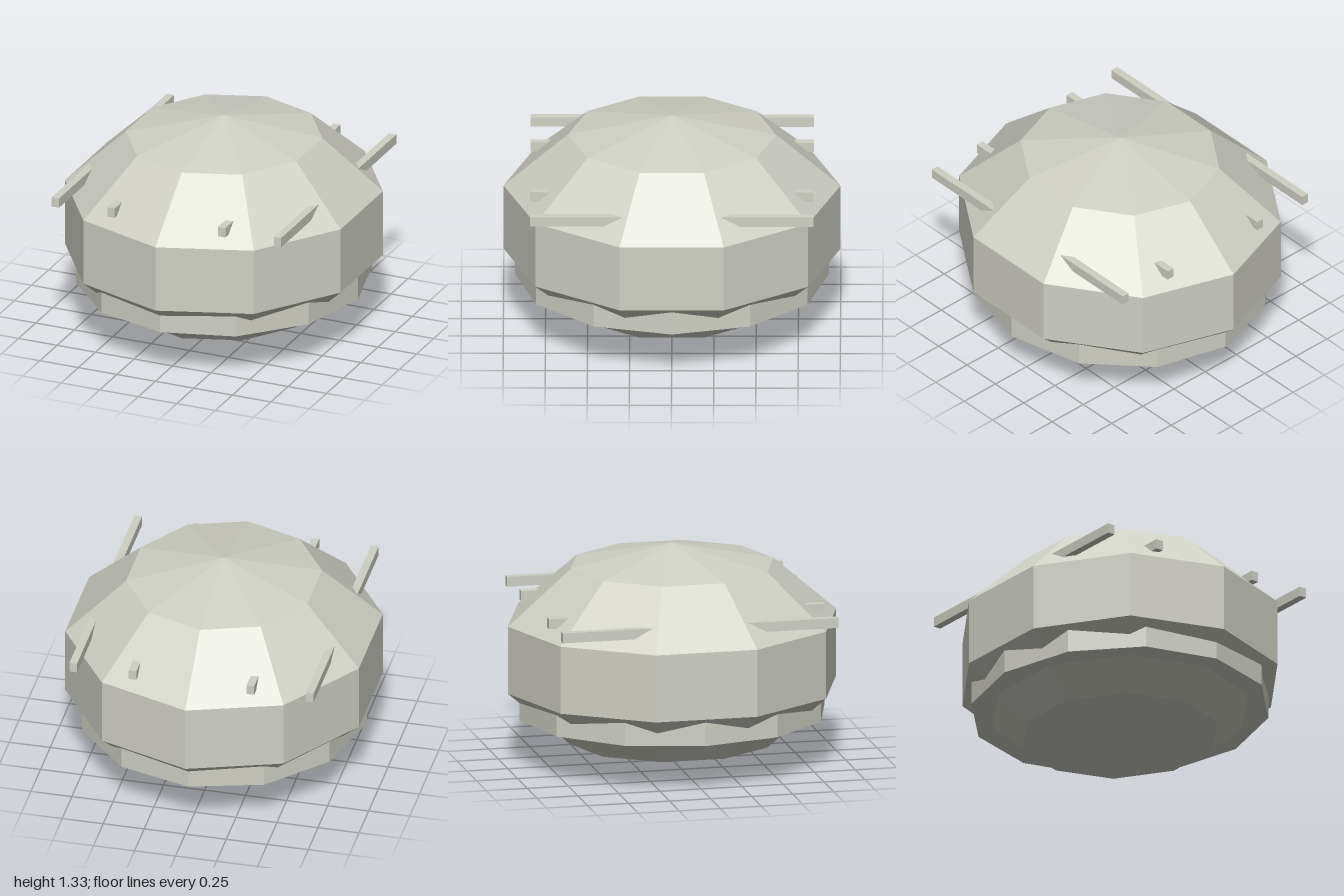
import * as THREE from 'three';

export function createModel() {
  const group = new THREE.Group();
  const paleGrey = new THREE.MeshStandardMaterial({ color: 0xcfd0c5, flatShading: true });
  paleGrey.name = 'paleGrey';

  const add = (name, geometry, x = 0, y = 0, z = 0) => {
    const mesh = new THREE.Mesh(geometry, paleGrey);
    mesh.name = name;
    mesh.position.set(x, y, z);
    group.add(mesh);
  };

  // Faceted pod: ten sides, five bands, a corner towards the front
  const pod = new THREE.SphereGeometry(1, 10, 5);
  pod.rotateY(Math.PI / 2);
  pod.scale(0.9895, 0.6625, 1.0515);
  add('podBody', pod, 0, 0.6625, 0);

  // Twelve-sided collar sunk into the lower half
  const collar = new THREE.CylinderGeometry(1, 1, 0.17, 12);
  collar.scale(0.871, 1, 0.93);
  add('collar', collar, 0, 0.375, 0);

  // Straight rails running through the dome from front to back
  const rail = new THREE.BoxGeometry(0.047, 0.06, 1.68);
  for (const side of [1, -1]) {
    add('outerRail', rail, side * 0.721, 0.965, 0);
    add('innerRail', rail, side * 0.359, 0.965, 0);
  }
  return group;
}
